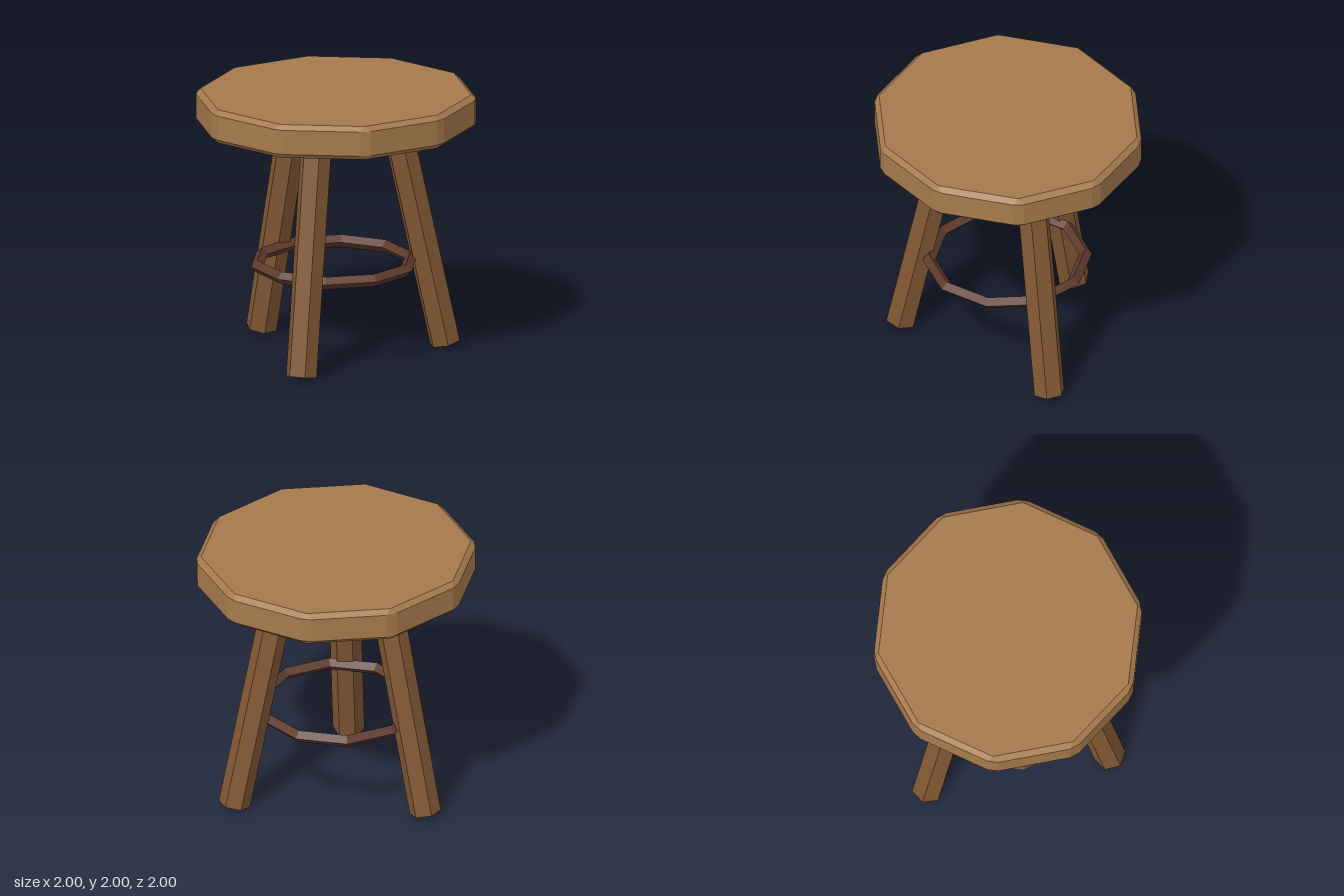
import * as THREE from 'three';

const material = (name, color) => {
  const m = new THREE.MeshStandardMaterial({ color });
  m.name = name;
  return m;
};

// Ten-sided seat slab with chamfered rims and corners
function seatGeometry() {
  const corner = (i, rx, rz) => {
    const a = (i * Math.PI) / 5;
    return new THREE.Vector2(Math.sin(a) * rx, Math.cos(a) * rz);
  };
  const outer = [], inner = [];
  for (let i = 0; i < 10; i++) {
    const p = corner(i, 1.0515, 1.013);
    outer.push(p.clone().lerp(corner(i - 1, 1.0515, 1.013), 0.068));
    outer.push(p.clone().lerp(corner(i + 1, 1.0515, 1.013), 0.068));
    const q = corner(i, 1.008, 0.976);
    inner.push(q, q);
  }
  const rings = [[inner, 1.745], [outer, 1.78], [outer, 1.965], [inner, 2]];
  const at = (r, i) => {
    const [loop, y] = rings[r];
    const p = loop[i % 20];
    return new THREE.Vector3(p.x, y, p.y);
  };
  const pos = [];
  const tri = (a, b, c) => {
    const area = b.clone().sub(a).cross(c.clone().sub(a)).length();
    if (area > 1e-7) for (const v of [a, b, c]) pos.push(v.x, v.y, v.z);
  };
  const top = new THREE.Vector3(0, 2, 0), bottom = new THREE.Vector3(0, 1.745, 0);
  for (let i = 0; i < 20; i++) {
    for (let r = 0; r < 3; r++) {
      tri(at(r, i), at(r, i + 1), at(r + 1, i + 1));
      tri(at(r, i), at(r + 1, i + 1), at(r + 1, i));
    }
    tri(top, at(3, i), at(3, i + 1));
    tri(bottom, at(0, i + 1), at(0, i));
  }
  const g = new THREE.BufferGeometry();
  g.setAttribute('position', new THREE.Float32BufferAttribute(pos, 3));
  g.computeVertexNormals();
  return g;
}

export function createModel() {
  const group = new THREE.Group();
  group.name = 'stool';
  const seatWood = material('seat wood', 0xa67a4c);
  const legWood = material('leg wood', 0x835834);
  const ringWood = material('dark ring wood', 0x5e3b2d);
  for (const m of [seatWood, legWood, ringWood]) m.flatShading = true;

  const add = (name, geometry, mat) => {
    const mesh = new THREE.Mesh(geometry, mat);
    mesh.name = name;
    group.add(mesh);
    return mesh;
  };

  add('seat', seatGeometry(), seatWood);

  // Splayed six-sided legs, running from the floor into the seat
  const leg = (name, foot, head) => {
    const a = new THREE.Vector3(...foot), b = new THREE.Vector3(...head);
    const dir = b.clone().sub(a);
    b.addScaledVector(dir, 0.04);
    const mesh = add(name, new THREE.CylinderGeometry(0.118, 0.118, a.distanceTo(b), 6), legWood);
    mesh.position.copy(a).add(b).multiplyScalar(0.5);
    mesh.quaternion.setFromUnitVectors(new THREE.Vector3(0, 1, 0), dir.normalize());
  };
  leg('leftLeg', [0.824, 0.024, 0], [0.452, 1.745, 0]);
  leg('frontRightLeg', [-0.413, 0.024, 0.688], [-0.23, 1.745, 0.38]);
  leg('backRightLeg', [-0.413, 0.024, -0.688], [-0.23, 1.745, -0.38]);

  // Ten-sided foot ring with a diamond section
  const ring = add('footRing', new THREE.TorusGeometry(0.58, 0.048, 4, 10).rotateX(-Math.PI / 2), ringWood);
  ring.position.set(-0.016, 0.689, 0);

  return group;
}
